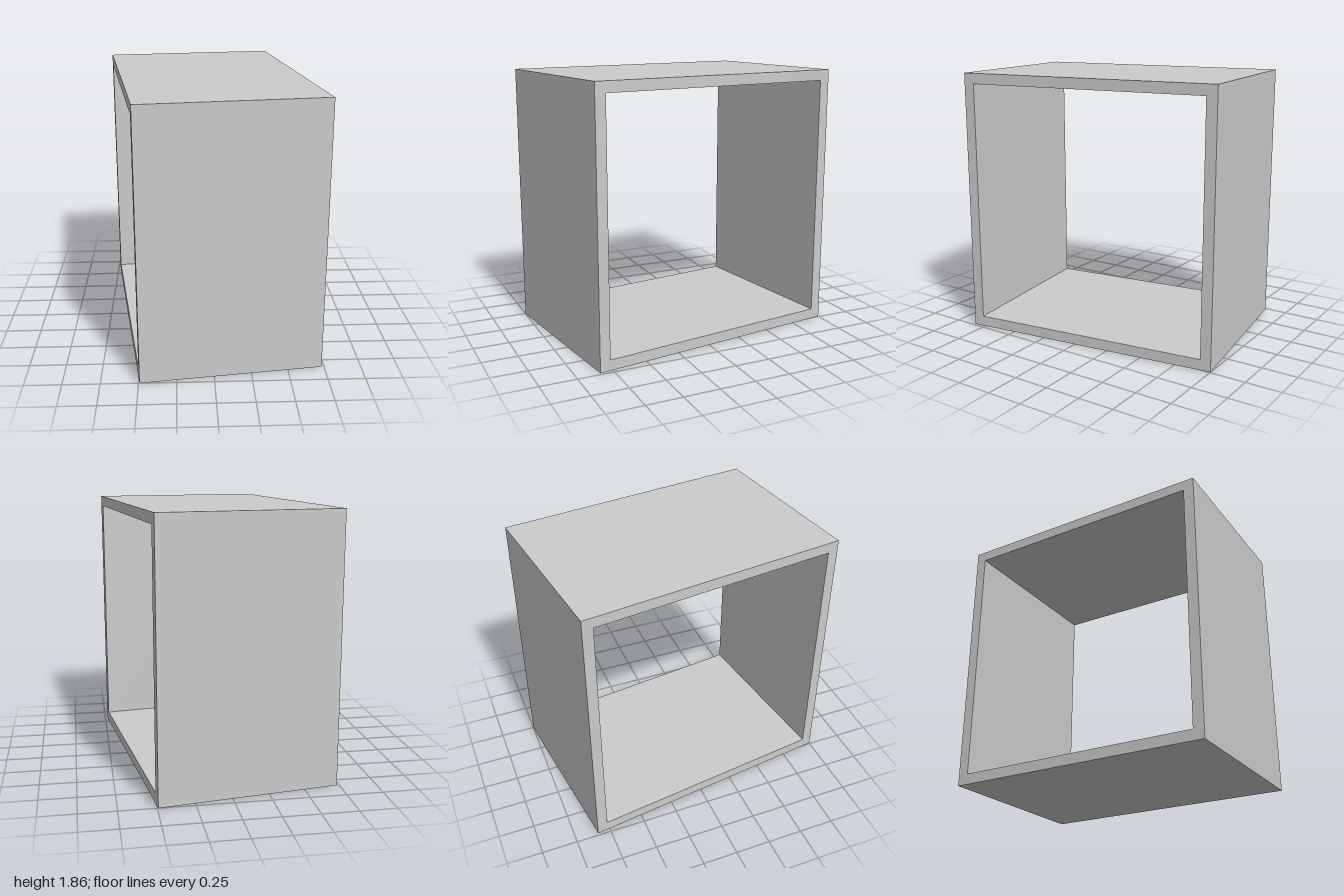
import * as THREE from 'three';

const WIDTH = 1.237;  // length of the passage
const DEPTH = 1.856;
const HEIGHT = 1.856;
const WALL = 0.074;
const TURN = Math.atan2(0.16, 1.227);

// Traces a rectangle centred on the origin
function rectangle(path, w, h) {
  path.moveTo(-w / 2, -h / 2);
  path.lineTo(w / 2, -h / 2);
  path.lineTo(w / 2, h / 2);
  path.lineTo(-w / 2, h / 2);
  path.closePath();
  return path;
}

export function createModel() {
  const group = new THREE.Group();
  group.name = 'openBox';

  // Square frame section with a rectangular opening, run along x
  const section = rectangle(new THREE.Shape(), DEPTH, HEIGHT);
  section.holes.push(rectangle(new THREE.Path(), DEPTH - 2 * WALL, HEIGHT - 2 * WALL));
  const geometry = new THREE.ExtrudeGeometry(section, { depth: WIDTH, bevelEnabled: false });
  geometry.translate(0, 0, -WIDTH / 2);
  geometry.rotateY(Math.PI / 2);

  // Hollow frame, open at both ends and turned slightly about the vertical
  const frame = new THREE.Mesh(
    geometry,
    new THREE.MeshStandardMaterial({ color: 0xcccccc, flatShading: true })
  );
  frame.name = 'frame';
  frame.position.y = HEIGHT / 2;
  frame.rotation.y = TURN;
  group.add(frame);

  return group;
}
